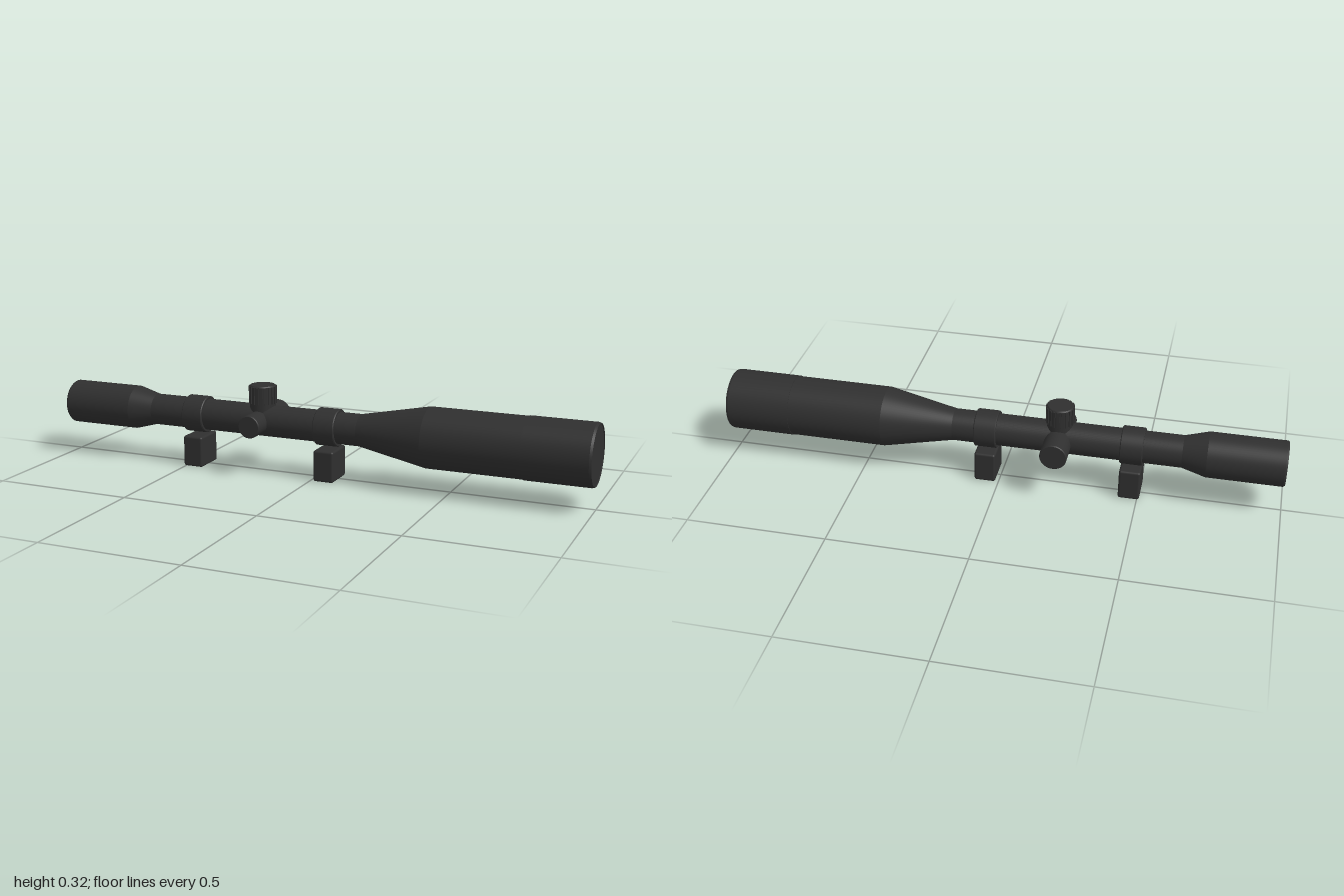
import * as THREE from 'three';
import { RoundedBoxGeometry } from 'three/addons/geometries/RoundedBoxGeometry.js';

const AXIS_Y = 0.189, AXIS_Z = 0.009, TURRET_X = -0.21;

export function createModel() {
  const black = new THREE.MeshStandardMaterial({ color: 0x2f2f2f });
  black.name = 'matte black';
  const glass = new THREE.MeshStandardMaterial({ color: 0x26404a });
  glass.name = 'teal glass';

  const model = new THREE.Group();
  model.name = 'scope';
  // Everything in this group is measured from the optical axis
  const optics = new THREE.Group();
  optics.name = 'optics';
  optics.position.set(0, AXIS_Y, AXIS_Z);
  model.add(optics);

  const add = (parent, name, geometry, material = black) => {
    const mesh = new THREE.Mesh(geometry, material);
    mesh.name = name;
    parent.add(mesh);
    return mesh;
  };

  // Lathe of [radius, height] points; each corner is doubled to stay crisp
  const turned = (points, segments = 64) => new THREE.LatheGeometry(
    points.flatMap(([r, h]) => [new THREE.Vector2(r, h), new THREE.Vector2(r, h)]), segments);
  const alongX = (points) => turned(points).rotateZ(-Math.PI / 2);

  // Body: eyepiece, main tube and objective bell
  add(optics, 'eyepiece', alongX([
    [0.070, -0.992], [0.070, -1.0], [0.076, -1.0], [0.080, -0.994],
    [0.080, -0.73], [0.057, -0.645],
  ]));
  add(optics, 'mainTube', alongX([[0.057, -0.645], [0.057, 0.17]]));
  add(optics, 'objectiveBell', alongX([[0.057, 0.17], [0.107, 0.42], [0.107, 0.77]]));
  add(optics, 'sunshade', alongX([
    [0.106, 0.765], [0.109, 0.765], [0.109, 0.992], [0.106, 1.0], [0.103, 1.0], [0.103, 0.994],
  ]));

  // End discs
  add(optics, 'eyepieceLens', new THREE.CircleGeometry(0.0705, 64).rotateY(-Math.PI / 2), glass)
    .position.x = -0.996;
  add(optics, 'objectiveCap', new THREE.CircleGeometry(0.1035, 64).rotateY(Math.PI / 2))
    .position.x = 0.997;

  // Mounting rings, each with its block below
  for (const [side, x] of [['rear', -0.47], ['front', 0.05]]) {
    add(optics, side + 'Ring', alongX([
      [0.056, -0.04], [0.064, -0.04], [0.067, -0.037],
      [0.067, 0.037], [0.064, 0.04], [0.056, 0.04],
    ])).position.x = x;
    add(model, side + 'MountBlock', new RoundedBoxGeometry(0.076, 0.113, 0.12, 3, 0.008))
      .position.set(x, 0.0565, AXIS_Z);
  }

  // Elevation turret: plain drum with a fluted grip
  const turret = new THREE.Group();
  turret.name = 'elevationTurret';
  turret.position.x = TURRET_X;
  optics.add(turret);
  add(turret, 'drum', turned([
    [0.047, 0.03], [0.047, 0.127], [0.044, 0.131], [0, 0.131],
  ], 40));
  const ribs = 20;
  for (let i = 0; i < ribs; i++) {
    const a = (i / ribs) * Math.PI * 2;
    const rib = add(turret, 'gripRib', new THREE.BoxGeometry(0.009, 0.062, 0.006));
    rib.position.set(Math.sin(a) * 0.0475, 0.096, Math.cos(a) * 0.0475);
    rib.rotation.y = a;
  }

  // Side turrets: smaller one in front, larger one behind
  const knob = (r, reach) => turned([
    [r, 0.03], [r, reach - 0.003], [r - 0.003, reach], [0, reach],
  ], 40);
  add(optics, 'frontKnob', knob(0.041, 0.121).rotateX(Math.PI / 2)).position.x = TURRET_X;
  add(optics, 'backKnob', knob(0.048, 0.137).rotateX(-Math.PI / 2)).position.x = TURRET_X;

  return model;
}
